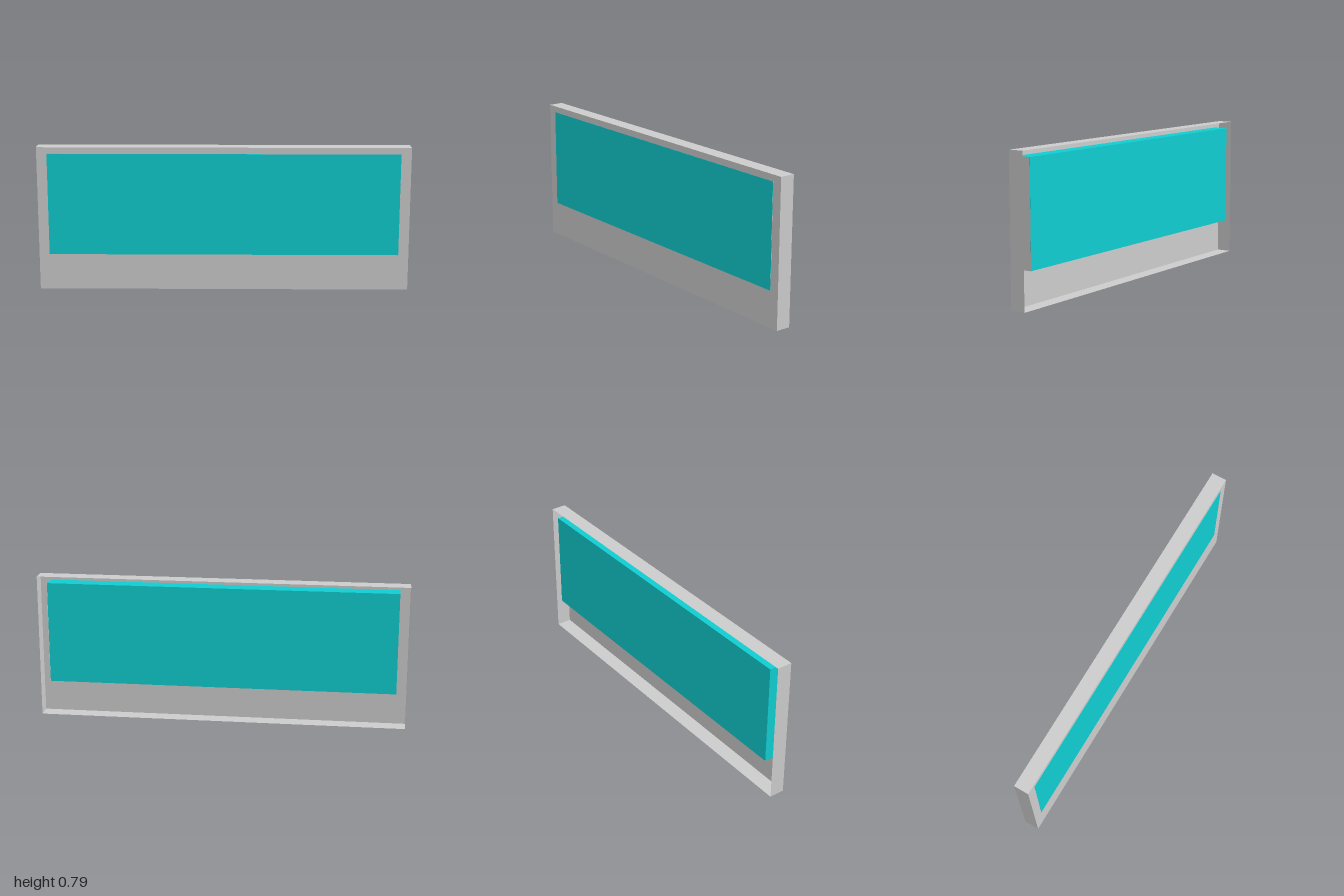
import * as THREE from 'three';

const W = 2, H = 0.785, D = 0.082;

export function createModel() {
  const group = new THREE.Group();
  const grey = new THREE.MeshStandardMaterial({ color: 0xcccccc, side: THREE.DoubleSide });
  const cyan = new THREE.MeshStandardMaterial({ color: 0x10cdd0 });

  const add = (name, geometry, material, x, y, z) => {
    const mesh = new THREE.Mesh(geometry, material);
    mesh.name = name;
    mesh.position.set(x, y, z);
    group.add(mesh);
  };

  // Thin-walled casing: a box with its last face (the back) left out
  const shell = new THREE.BoxGeometry(W, H, D);
  shell.setIndex(Array.from(shell.index.array).slice(0, 30));
  shell.clearGroups();
  add('casing', shell, grey, 0, H / 2, 0);

  // Screen block filling the casing's depth, a hair proud of the front
  const bottom = 0.195, top = 0.75, half = 0.945, proud = 0.001;
  const height = top - bottom, midY = (top + bottom) / 2;
  add('screen', new THREE.BoxGeometry(half * 2, height, D + proud), cyan, 0, midY, proud / 2);

  // Grey cover on the screen's left end
  const cover = new THREE.PlaneGeometry(D + proud, height).rotateY(Math.PI / 2);
  add('screenEndCover', cover, grey, half + 0.001, midY, proud / 2);

  return group;
}
